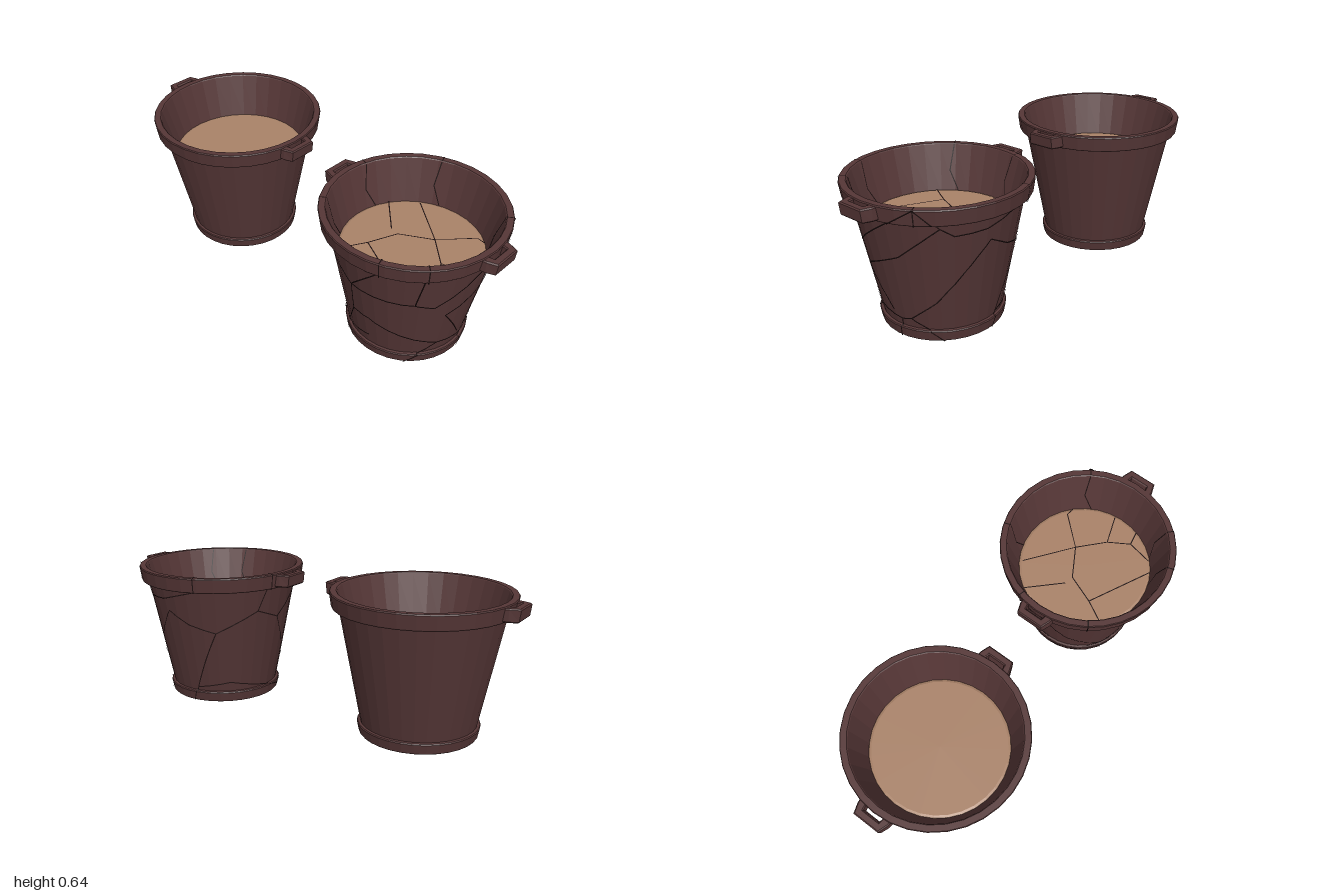
import * as THREE from 'three';

const SIDES = 32;
const clay = new THREE.MeshStandardMaterial({ color: 0x553636, flatShading: true, side: THREE.DoubleSide });
const earth = new THREE.MeshStandardMaterial({ color: 0xa98268, flatShading: true });
const crackMat = new THREE.MeshStandardMaterial({ color: 0x1c1010, side: THREE.DoubleSide });
const V2 = (x, y) => new THREE.Vector2(x, y);
const V3 = (x, y, z) => new THREE.Vector3(x, y, z);
const rad = THREE.MathUtils.degToRad;

function add(parent, name, geometry, material) {
  const mesh = new THREE.Mesh(geometry, material);
  mesh.name = name;
  parent.add(mesh);
  return mesh;
}

// Open loop grip: a tapered flat ring standing out from the rim
function handleGeometry() {
  const shape = new THREE.Shape([V2(0.375, -0.078), V2(0.405, -0.074), V2(0.445, -0.06),
    V2(0.445, 0.06), V2(0.405, 0.074), V2(0.375, 0.078)]);
  shape.holes.push(new THREE.Path([V2(0.38, -0.052), V2(0.38, 0.052), V2(0.421, 0.045), V2(0.421, -0.045)]));
  const g = new THREE.ExtrudeGeometry(shape, {
    depth: 0.048, bevelEnabled: true, bevelSize: 0.005, bevelThickness: 0.005, bevelSegments: 1,
  });
  g.rotateX(Math.PI / 2).translate(0, 0.627, 0);
  // lower edge drawn in a little
  const p = g.attributes.position;
  for (let i = 0; i < p.count; i++) {
    if (p.getY(i) < 0.6 && p.getX(i) > 0.41) p.setX(i, p.getX(i) - 0.006);
  }
  g.computeVertexNormals();
  return g;
}

function makePot(name) {
  const pot = new THREE.Group();
  pot.name = name;

  // Foot ring, tapering wall, collar and inside wall in one profile
  const profile = [
    [0, 0.002], [0.254, 0.002], [0.256, 0], [0.26, 0], [0.264, 0.005], [0.272, 0.045], [0.269, 0.05],
    [0.258, 0.052], [0.36, 0.567], [0.387, 0.567], [0.391, 0.572], [0.4, 0.632], [0.397, 0.637],
    [0.37, 0.637], [0.366, 0.633], [0.308, 0.42],
  ].map(([r, y]) => V2(r, y));
  add(pot, 'potBody', new THREE.LatheGeometry(profile, SIDES), clay);

  // Soil disc with a softened edge
  const soil = [[0.315, 0.425], [0.311, 0.433], [0.3, 0.437], [0, 0.437]].map(([r, y]) => V2(r, y));
  add(pot, 'soil', new THREE.LatheGeometry(soil, SIDES), earth);

  for (const side of [0, 1]) {
    add(pot, side ? 'rightHandle' : 'leftHandle', handleGeometry(), clay).rotation.y = side * Math.PI;
  }
  return pot;
}

// Point on the faceted wall, angle in degrees from the front
function wallPoint(deg, r, y) {
  const step = 360 / SIDES;
  const off = (((deg % step) + step) % step) - step / 2;
  const rr = r * Math.cos(rad(step / 2)) / Math.cos(rad(off));
  return V3(rr * Math.sin(rad(deg)), y, rr * Math.cos(rad(deg)));
}

function outerRadius(y) {
  if (y < 0.05) return 0.265 + 0.18 * y;
  if (y < 0.567) return 0.2495 + 0.198 * y;
  return 0.392 + 0.15 * (y - 0.567);
}

// Thin strip following points, lying square to the given normals
function ribbon(points, normalAt, width = 0.005) {
  const pos = [], index = [];
  points.forEach((p, i) => {
    const t = points[Math.min(i + 1, points.length - 1)].clone().sub(points[Math.max(i - 1, 0)]);
    const w = t.cross(normalAt(p)).setLength(width / 2);
    pos.push(p.x + w.x, p.y + w.y, p.z + w.z, p.x - w.x, p.y - w.y, p.z - w.z);
    if (i) index.push(2 * i - 2, 2 * i - 1, 2 * i, 2 * i - 1, 2 * i + 1, 2 * i);
  });
  const g = new THREE.BufferGeometry();
  g.setAttribute('position', new THREE.Float32BufferAttribute(pos, 3));
  g.setIndex(index);
  g.computeVertexNormals();
  return g;
}

function addCracks(pot) {
  const cracks = new THREE.Group();
  cracks.name = 'cracks';
  pot.add(cracks);
  const radial = (p) => V3(p.x, 0, p.z);
  const up = () => V3(0, 1, 0);

  // Wall cracks as [angle, height] runs
  const front = [
    [[-55, 0.567], [-8.5, 0.396], [19, 0.567]],
    [[-55, 0.567], [-90, 0.41], [-71, 0.235], [-37, 0.1], [-31, 0.07], [-31, 0.001]],
    [[-8.5, 0.396], [42, 0.39], [56, 0.367], [107, 0.567], [123, 0.636]],
    [[-8.5, 0.396], [-11.6, 0.23], [-25, 0.1]],
    [[-11.6, 0.23], [5, 0.227], [67, 0.109], [98, 0.086], [108, 0.097]],
    [[42, 0.39], [47, 0.567]],
    [[-70, 0.03], [-31, 0.07], [3, 0.107]],
  ];
  const sides = [
    [[67, 0.109], [50, 0.05], [37, 0.001]],
    [[98, 0.086], [96, 0.001]],
    [[108, 0.097], [125, 0.05], [137, 0.001]],
    [[108, 0.097], [132, 0.19], [147, 0.285], [172, 0.457]],
    [[123, 0.636], [137, 0.543], [107, 0.4], [67, 0.3], [90, 0.118]],
    [[137, 0.543], [146, 0.506], [168, 0.513], [200, 0.567]],
  ];
  const back = [
    [[172, 0.457], [190, 0.4], [213, 0.36], [190, 0.07], [185, 0.001]],
    [[213, 0.36], [248, 0.46], [270, 0.41]],
    [[248, 0.46], [255, 0.567]],
    [[190, 0.07], [225, 0.1], [290, 0.03]],
  ];
  for (const run of [...front, ...sides, ...back]) {
    const pts = [];
    for (let i = 0; i + 1 < run.length; i++) {
      for (let k = i ? 1 : 0; k <= 20; k++) {
        const a = THREE.MathUtils.lerp(run[i][0], run[i + 1][0], k / 20);
        const y = THREE.MathUtils.lerp(run[i][1], run[i + 1][1], k / 20);
        pts.push(wallPoint(a, outerRadius(y) + 0.0015, y));
      }
    }
    add(cracks, 'wallCrack', ribbon(pts, radial), crackMat);
  }

  // Cracks over the collar and down the inside
  for (const a of [-55, 19, 47, 123, 200, 255]) {
    const collar = [wallPoint(a, 0.393, 0.567), wallPoint(a, 0.4015, 0.634)];
    const top = [wallPoint(a, 0.399, 0.6385), wallPoint(a, 0.368, 0.6385)];
    const inside = [wallPoint(a, 0.364, 0.633), wallPoint(a + 3, 0.333, 0.52), wallPoint(a - 4, 0.31, 0.436)];
    add(cracks, 'collarCrack', ribbon(collar, radial), crackMat);
    add(cracks, 'lipCrack', ribbon(top, up), crackMat);
    add(cracks, 'insideCrack', ribbon(inside, radial), crackMat);
  }

  // Cracks in the soil as [x, z] runs
  const soil = [
    [[-0.155, -0.25], [0.053, -0.09], [0.176, -0.225], [0.215, -0.22]],
    [[0.053, -0.09], [-0.086, -0.01], [-0.14, 0.123], [-0.2, 0.23]],
    [[-0.14, 0.123], [0.15, 0.267]],
    [[0.053, -0.09], [0.166, 0.016], [0.3, -0.03]],
    [[0.166, 0.016], [0.224, 0.112], [0.2, 0.23]],
    [[0.224, 0.112], [0.29, 0.1]],
    [[-0.265, -0.16], [-0.13, -0.02]],
  ];
  for (const run of soil) {
    add(cracks, 'soilCrack', ribbon(run.map(([x, z]) => V3(x, 0.4385, z)), up), crackMat);
  }

  // Cracks under the base
  for (const a of [-31, 37, 96, 137, 185, 290]) {
    const end = V3(0.25 * Math.sin(rad(a)), 0.0005, 0.25 * Math.cos(rad(a)));
    add(cracks, 'baseCrack', ribbon([end, V3(0.02, 0.0005, -0.03)], up), crackMat);
  }
}

export function createModel() {
  const model = new THREE.Group();
  model.name = 'pots';
  const whole = makePot('wholePot');
  whole.position.x = -0.55;
  const cracked = makePot('crackedPot');
  cracked.position.x = 0.55;
  addCracks(cracked);
  model.add(whole, cracked);
  return model;
}
